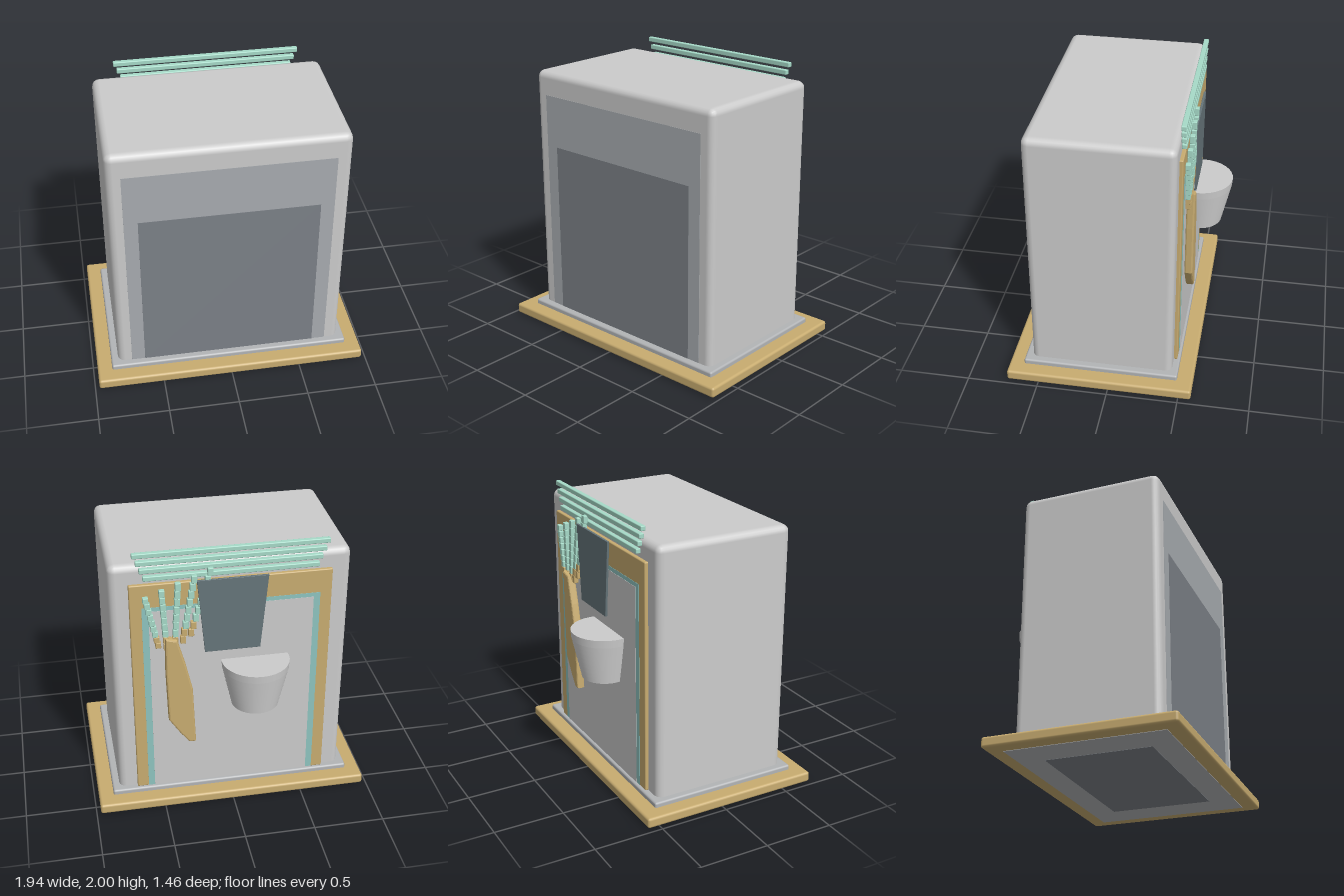
import * as THREE from 'three';
import { RoundedBoxGeometry } from 'three/addons/geometries/RoundedBoxGeometry.js';

const paint = (color) => new THREE.MeshStandardMaterial({ color });
const grey = paint(0xcccccc);
const midGrey = paint(0xb2b4b6);
const panelGrey = paint(0xa8acb0);
const dark = paint(0x7c8187);
const slate = paint(0x66757a);
const gold = paint(0xc8ac70);
const mint = paint(0xa6dac8);
const teal = paint(0x8fc4c0);

export function createModel() {
  const model = new THREE.Group();

  const add = (name, geometry, material, parent = model) => {
    const mesh = new THREE.Mesh(geometry, material);
    mesh.name = name;
    parent.add(mesh);
    return mesh;
  };

  // Box given by its limits on each axis; a radius rounds the edges
  const block = (name, [x0, x1], [y0, y1], [z0, z1], material, radius = 0, parent = model) => {
    const size = [x1 - x0, y1 - y0, z1 - z0];
    const geometry = radius
      ? new RoundedBoxGeometry(...size, 2, radius)
      : new THREE.BoxGeometry(...size);
    const mesh = add(name, geometry, material, parent);
    mesh.position.set((x0 + x1) / 2, (y0 + y1) / 2, (z0 + z1) / 2);
    return mesh;
  };

  // Flat outline in x and y, extruded between two z limits
  const plate = (name, points, z0, z1, material, bevel) => {
    const shape = new THREE.Shape(points.map(([x, y]) => new THREE.Vector2(x, y)));
    const geometry = new THREE.ExtrudeGeometry(shape, {
      depth: z1 - z0 - 2 * bevel,
      bevelEnabled: bevel > 0,
      bevelThickness: bevel,
      bevelSize: bevel,
      bevelOffset: -bevel,
      bevelSegments: 2,
    });
    geometry.translate(0, 0, z0 + bevel);
    return add(name, geometry, material);
  };

  // Base, plinth and cabinet
  block('basePlate', [-0.97, 0.97], [0.005, 0.08], [-0.59, 0.725], gold, 0.018);
  block('plinth', [-0.865, 0.865], [0.04, 0.115], [-0.48, 0.62], midGrey, 0.014);
  block('cabinet', [-0.815, 0.815], [0.05, 1.905], [-0.435, 0.57], grey, 0.05);

  // Underside covers
  block('undersideCover', [-0.865, 0.865], [0.002, 0.02], [-0.48, 0.62], midGrey);
  block('undersideInset', [-0.62, 0.62], [0, 0.02], [-0.3, 0.44], dark);

  // Front panels, one inside the other
  block('frontPanel', [-0.715, 0.715], [0.1, 1.735], [0.54, 0.572], panelGrey);
  block('frontInset', [-0.62, 0.62], [0.1, 1.365], [0.54, 0.574], dark);

  // Back board with thin inlays
  block('backBoard', [-0.685, 0.685], [0.115, 1.77], [-0.46, -0.42], gold, 0.008);
  block('backInlay', [-0.605, 0.605], [0.12, 1.6], [-0.462, -0.44], teal);
  block('backPanel', [-0.56, 0.56], [0.12, 1.57], [-0.464, -0.44], grey);

  // Slats above the back board, longer towards the top
  const slats = new THREE.Group();
  slats.name = 'slats';
  model.add(slats);
  for (let i = 0; i < 4; i++) {
    const half = 0.59 + 0.022 * i;
    const y = 1.817 + 0.056 * i;
    block('slat', [-half, half], [y - 0.017, y + 0.017], [-0.47, -0.435], mint, 0.006, slats);
  }

  // Hanging slate tablet, narrower at the bottom
  plate('tablet', [[-0.19, 1.24], [0.19, 1.24], [0.24, 1.79], [-0.24, 1.79]],
    -0.502, -0.486, slate, 0.002);

  // Wooden blade below the strands
  plate('blade', [[0.262, 0.512], [0.31, 0.512], [0.37, 0.59], [0.45, 0.715], [0.462, 1.1],
    [0.46, 1.38], [0.38, 1.36], [0.325, 1.16], [0.28, 0.96]], -0.521, -0.462, gold, 0.012);

  // Fan of five strands in stepped blocks, wooden at the lower end
  const fan = new THREE.Group();
  fan.name = 'strandFan';
  model.add(fan);
  const steps = 9;
  for (let s = 0; s < 5; s++) {
    const top = new THREE.Vector2(0.58 - 0.108 * s, 1.69 + 0.045 * s);
    const foot = new THREE.Vector2(0.505 - 0.056 * s, [1.3, 1.28, 1.26, 1.32, 1.37][s]);
    const height = (top.y - foot.y) / steps;
    for (let i = 0; i < steps; i++) {
      const x = THREE.MathUtils.lerp(foot.x, top.x, i / (steps - 1));
      const y = foot.y + i * height;
      block('strandBlock', [x - 0.019, x + 0.019], [y, y + height], [-0.497, -0.463],
        i < 2 ? gold : mint, 0.004, fan);
    }
  }

  // Ribbed basket of stacked rings, set into the board
  const basket = new THREE.Group();
  basket.name = 'basket';
  basket.position.set(-0.16, 0.797, -0.495);
  model.add(basket);
  const rings = 9;
  const ringHeight = 0.0365;
  for (let i = 0; i < rings; i++) {
    const last = i === rings - 1;
    const radius = 0.17 + 0.065 * i / (rings - 1);
    const height = last ? 0.056 : ringHeight;
    const ring = add('basketRing',
      new THREE.CylinderGeometry(radius, radius - 0.004, height, 32), grey, basket);
    ring.position.y = i * ringHeight + height / 2;
  }

  return model;
}
